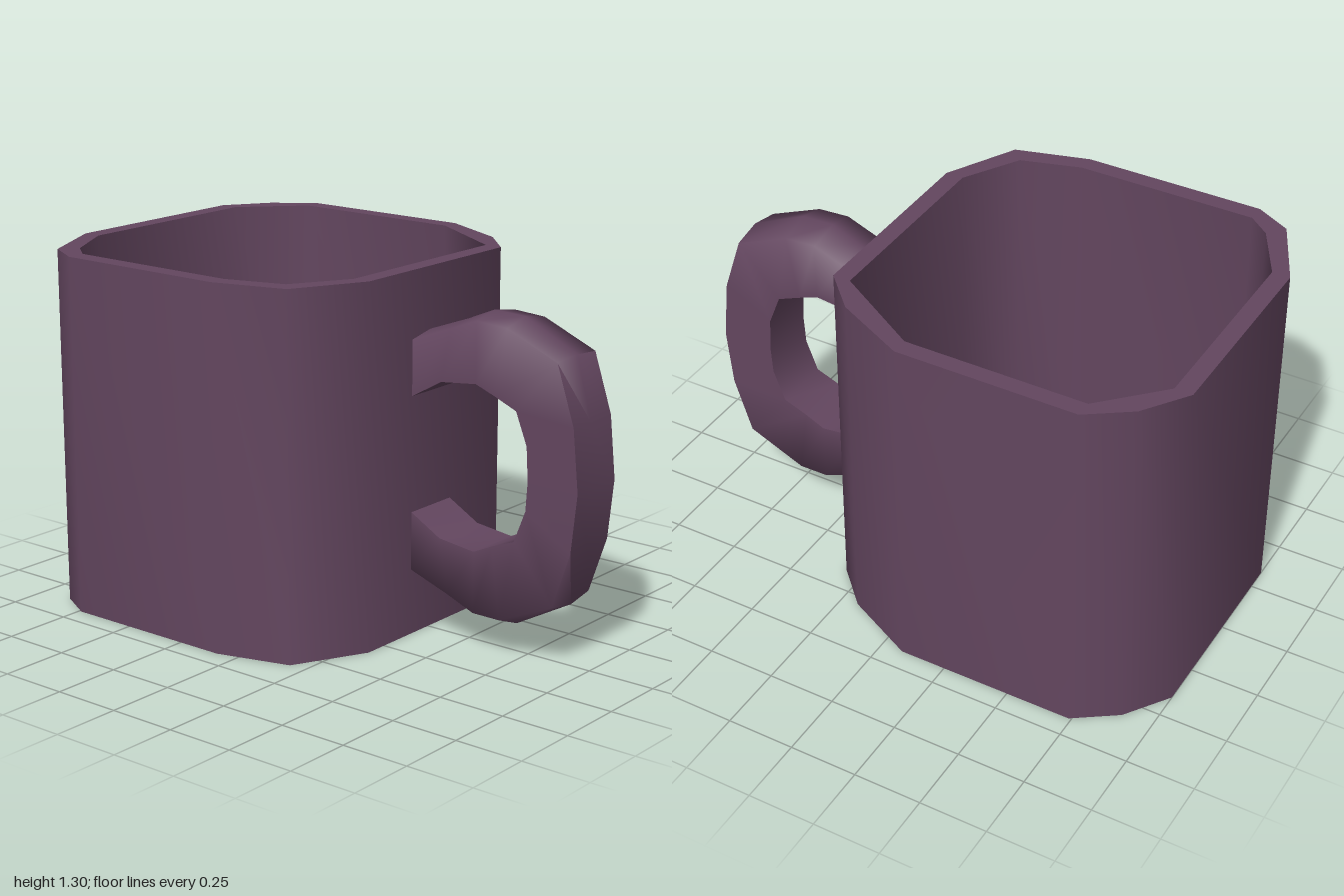
import * as THREE from 'three';
import { toCreasedNormals } from 'three/addons/utils/BufferGeometryUtils.js';

const HEIGHT = 1.3, FLOOR = 0.065;

// Plan outlines as [x, z]
const OUTER = [[-1, -0.405], [-0.89, -0.565], [-0.74, -0.67], [-0.08, -0.67], [0.185, -0.54], [0.318, -0.405],
  [0.318, 0.335], [0.185, 0.595], [-0.08, 0.67], [-0.74, 0.67], [-0.87, 0.6], [-1, 0.335]];
const INNER = [[-0.935, -0.405], [-0.74, -0.607], [-0.08, -0.607], [0.253, -0.405],
  [0.253, 0.335], [0.135, 0.54], [-0.08, 0.605], [-0.74, 0.605], [-0.82, 0.54], [-0.935, 0.335]];

// Handle stations from the upper joint to the lower: inner x, y, outer x, y, ridge drop
const STATIONS = [
  [0.28, 0.84, 0.28, 1.065, 0.09], [0.318, 0.862, 0.318, 1.08, 0.09], [0.44, 0.932, 0.48, 1.14, 0.09],
  [0.585, 0.948, 0.585, 1.185, 0.09], [0.66, 0.92, 0.71, 1.18, 0.09], [0.75, 0.883, 0.92, 1.083, 0.06],
  [0.795, 0.77, 0.978, 0.865, 0], [0.802, 0.65, 1, 0.645, 0], [0.795, 0.545, 0.978, 0.435, 0],
  [0.75, 0.43, 0.92, 0.22, 0.06], [0.66, 0.395, 0.7, 0.1, 0.13], [0.585, 0.36, 0.585, 0.106, 0.13],
  [0.44, 0.378, 0.48, 0.163, 0.09], [0.318, 0.447, 0.318, 0.217, 0.09], [0.28, 0.468, 0.28, 0.235, 0.09]];

const toPoints = (outline) => outline.map(([x, z]) => new THREE.Vector2(x, -z));

function extrudeUp(shape, height) {
  const geometry = new THREE.ExtrudeGeometry(shape, { depth: height, bevelEnabled: false });
  geometry.rotateX(-Math.PI / 2);
  return toCreasedNormals(geometry, 1.2);
}

// Five-sided section swept along the stations: flat inside, low ridge outside
function handleGeometry() {
  const positions = [], index = [], sides = 5;
  for (const [ix, iy, ox, oy, drop] of STATIONS) {
    const sx = ox + (ix - ox) * drop, sy = oy + (iy - oy) * drop;
    positions.push(ix, iy, 0.1, sx, sy, 0.1, ox, oy, 0, sx, sy, -0.12, ix, iy, -0.12);
  }
  for (let i = 0; i < STATIONS.length - 1; i++) {
    for (let j = 0; j < sides; j++) {
      const a = i * sides + j, d = i * sides + (j + 1) % sides;
      index.push(a, a + sides, d + sides, a, d + sides, d);
    }
  }
  const geometry = new THREE.BufferGeometry();
  geometry.setAttribute('position', new THREE.Float32BufferAttribute(positions, 3));
  geometry.setIndex(index);
  return toCreasedNormals(geometry, 1.45);
}

export function createModel() {
  const group = new THREE.Group();
  group.name = 'mug';
  const material = new THREE.MeshStandardMaterial({ color: 0x63465f });
  const add = (name, geometry) => {
    const mesh = new THREE.Mesh(geometry, material);
    mesh.name = name;
    group.add(mesh);
  };

  // Hollow wall with a flat rim; the hole winds against the outline
  const wall = new THREE.Shape(toPoints(OUTER));
  wall.holes.push(new THREE.Path(toPoints(INNER).reverse()));
  add('wall', extrudeUp(wall, HEIGHT));

  // Floor plate closing the cup
  add('floor', extrudeUp(new THREE.Shape(toPoints(INNER)), FLOOR));

  add('handle', handleGeometry());
  return group;
}
